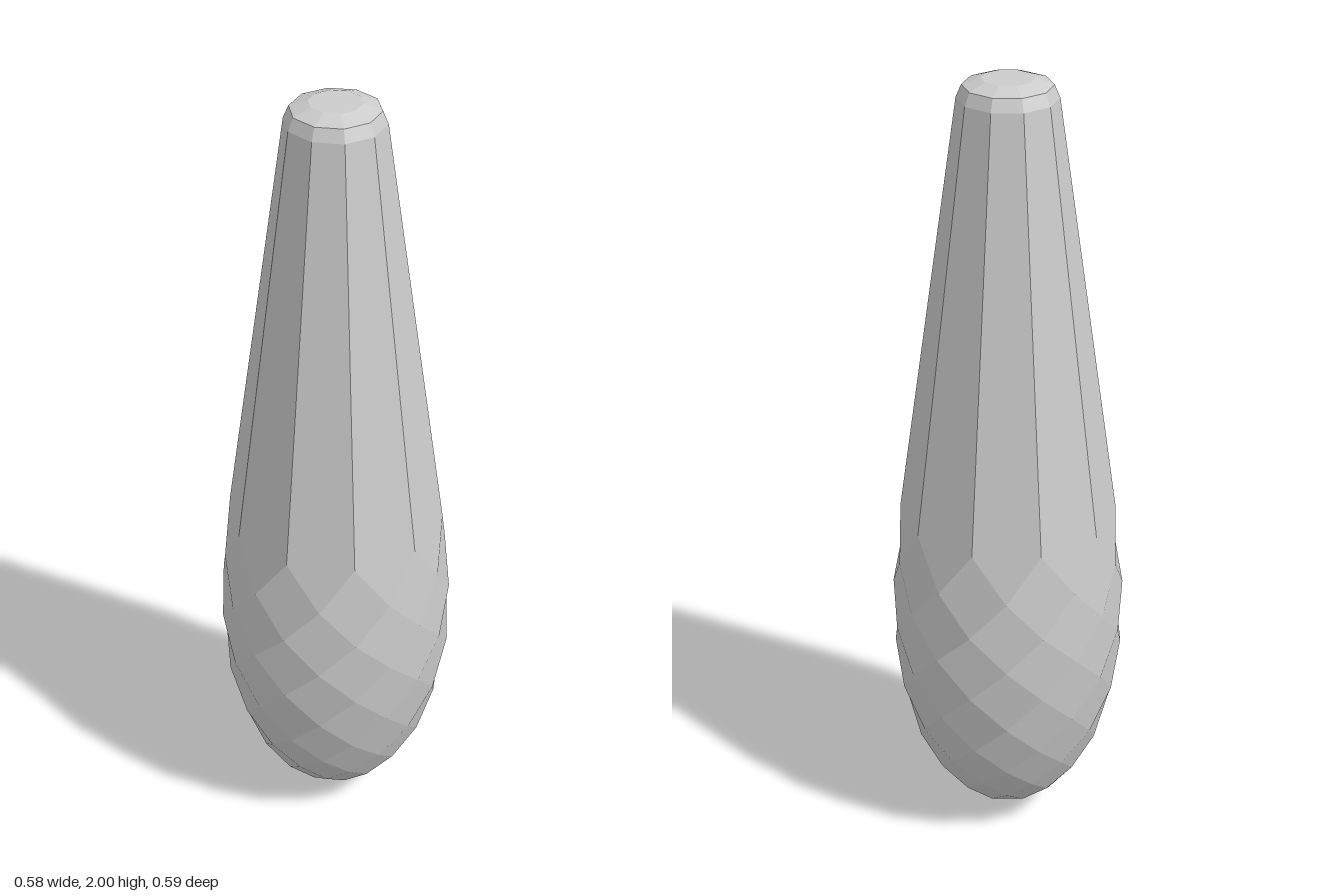
import * as THREE from 'three';

const SIDES = 10;
const STEP = Math.PI / SIDES; // half of one side, so staggered rings can interlock

// [height, radius] of the staggered rings, from the shoulder down to the tip
const RINGS = [
  [0.90, 0.268], [0.78, 0.282], [0.68, 0.291], [0.59, 0.293], [0.50, 0.290],
  [0.41, 0.279], [0.325, 0.261], [0.25, 0.237], [0.185, 0.208], [0.13, 0.175],
  [0.083, 0.132], [0.042, 0.072], [0, 0],
];
// [height, radius] of the rings from the neck up to the flat top
const CAP = [[1.955, 0.118], [1.985, 0.105], [2.0, 0.062]];

const point = ([y, r], k) =>
  new THREE.Vector3(r * Math.sin(k * STEP), y, r * Math.cos(k * STEP));

// Fans each facet into triangles that share one flat normal
function facetGeometry(facets) {
  const positions = [], normals = [];
  for (const corners of facets) {
    const normal = new THREE.Vector3();
    corners.forEach((c, i) =>
      normal.add(c.clone().cross(corners[(i + 1) % corners.length])));
    normal.normalize();
    for (let i = 1; i < corners.length - 1; i++) {
      for (const c of [corners[0], corners[i], corners[i + 1]]) {
        positions.push(c.x, c.y, c.z);
        normals.push(normal.x, normal.y, normal.z);
      }
    }
  }
  const geometry = new THREE.BufferGeometry();
  geometry.setAttribute('position', new THREE.Float32BufferAttribute(positions, 3));
  geometry.setAttribute('normal', new THREE.Float32BufferAttribute(normals, 3));
  return geometry;
}

export function createModel() {
  const group = new THREE.Group();
  group.name = 'facetedDrop';
  const material = new THREE.MeshStandardMaterial({ color: 0xcccccc });
  const add = (name, facets) => {
    const mesh = new THREE.Mesh(facetGeometry(facets), material);
    mesh.name = name;
    group.add(mesh);
  };

  // Long panels, each ending in a point between two diamonds
  const panels = [];
  for (let s = 0; s < SIDES; s++) {
    const k = 2 * s - 1;
    panels.push([point(RINGS[0], k), point(RINGS[1], k + 1), point(RINGS[0], k + 2),
      point(CAP[0], k + 2), point(CAP[0], k)]);
  }
  add('longPanels', panels);

  // Diamond facets spanning three staggered rings
  const diamonds = [];
  for (let i = 1; i < RINGS.length - 1; i++) {
    for (let s = 0; s < SIDES; s++) {
      const k = 2 * s + (i + 1) % 2;
      diamonds.push([point(RINGS[i], k), point(RINGS[i + 1], k + 1),
        point(RINGS[i], k + 2), point(RINGS[i - 1], k + 1)]);
    }
  }
  add('diamondFacets', diamonds);

  // Bevelled cap with a flat top
  const cap = [];
  for (let i = 0; i < CAP.length - 1; i++) {
    for (let s = 0; s < SIDES; s++) {
      const k = 2 * s - 1;
      cap.push([point(CAP[i], k), point(CAP[i], k + 2),
        point(CAP[i + 1], k + 2), point(CAP[i + 1], k)]);
    }
  }
  cap.push(Array.from({ length: SIDES }, (_, s) => point(CAP[2], 2 * s - 1)));
  add('topCap', cap);

  return group;
}
